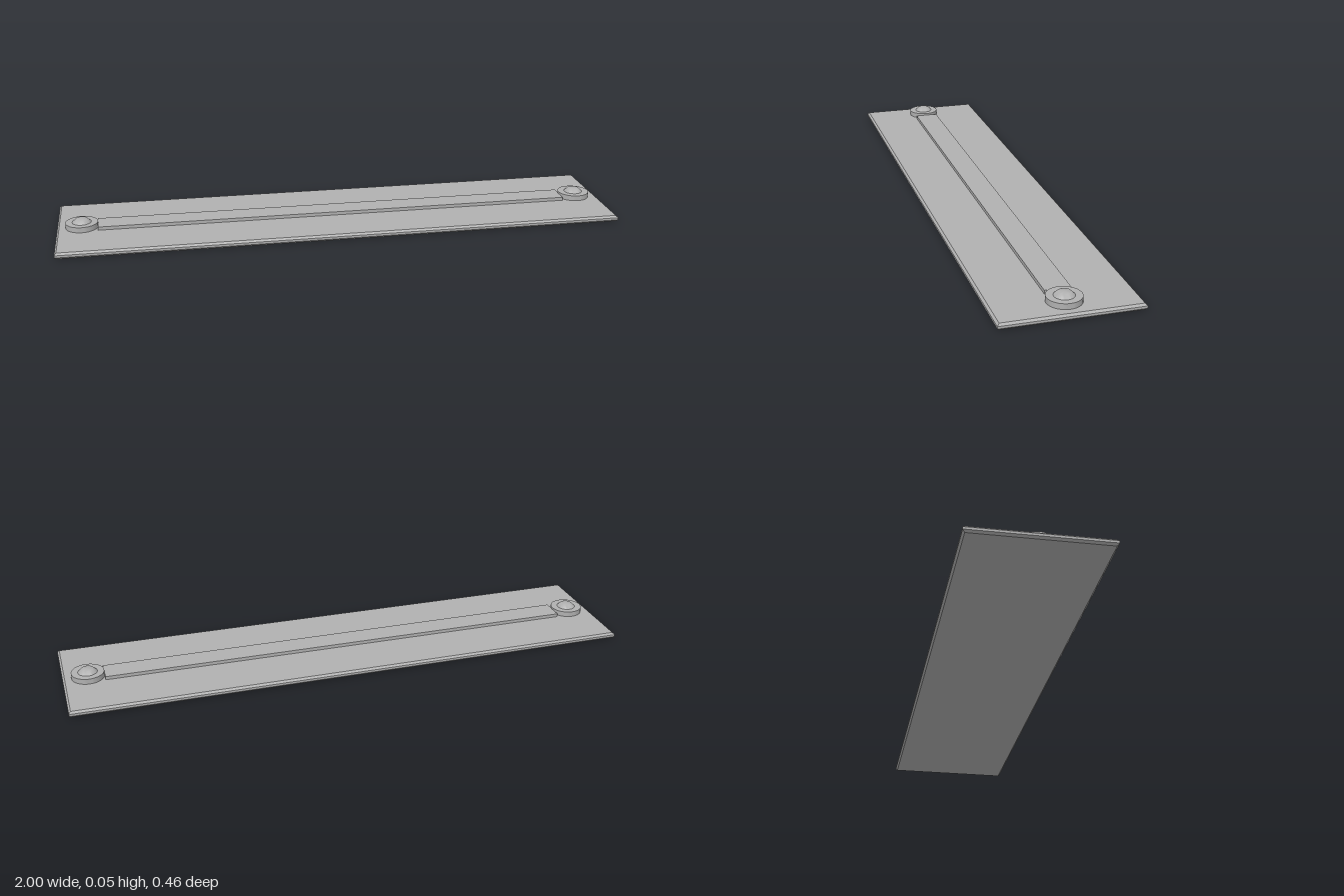
import * as THREE from 'three';
import { toCreasedNormals } from 'three/addons/utils/BufferGeometryUtils.js';

export function createModel() {
  const model = new THREE.Group();
  const metal = new THREE.MeshStandardMaterial({ color: 0xb0b0b0 });

  const add = (name, geometry, x = 0, y = 0) => {
    const mesh = new THREE.Mesh(geometry, metal);
    mesh.name = name;
    mesh.position.set(x, y, 0);
    model.add(mesh);
  };

  // Flat slab with chamfered edges, lying on y = 0
  const slab = (halfX, halfZ, height, bevel) => {
    const x = halfX - bevel, z = halfZ - bevel;
    const outline = new THREE.Shape([
      new THREE.Vector2(-x, -z), new THREE.Vector2(x, -z),
      new THREE.Vector2(x, z), new THREE.Vector2(-x, z),
    ]);
    const g = new THREE.ExtrudeGeometry(outline, {
      depth: height - 2 * bevel, bevelEnabled: true,
      bevelSize: bevel, bevelThickness: bevel, bevelSegments: 1,
    });
    g.translate(0, 0, bevel);
    g.rotateX(-Math.PI / 2);
    return g;
  };

  // Base plate and the raised strip along its middle
  add('basePlate', slab(1, 0.232, 0.022, 0.007), 0, 0);
  add('raisedStrip', new THREE.BoxGeometry(1.714, 0.014, 0.086), 0, 0.027);

  // A washer and a rounded screw head at each end
  const lathe = (points, crease) => toCreasedNormals(
    new THREE.LatheGeometry(points.map(([r, y]) => new THREE.Vector2(r, y)), 40), crease);
  const washer = lathe([[0, 0], [0.057, 0], [0.057, 0.021], [0, 0.021]], 0.5);
  const head = lathe([[0.034, 0], [0.031, 0.003], [0.021, 0.0125], [0.018, 0.0135], [0, 0.0135]], 0.8);
  for (const [side, x] of [['left', 0.913], ['right', -0.913]]) {
    add(side + 'Washer', washer, x, 0.02);
    add(side + 'ScrewHead', head, x, 0.0405);
  }
  return model;
}
